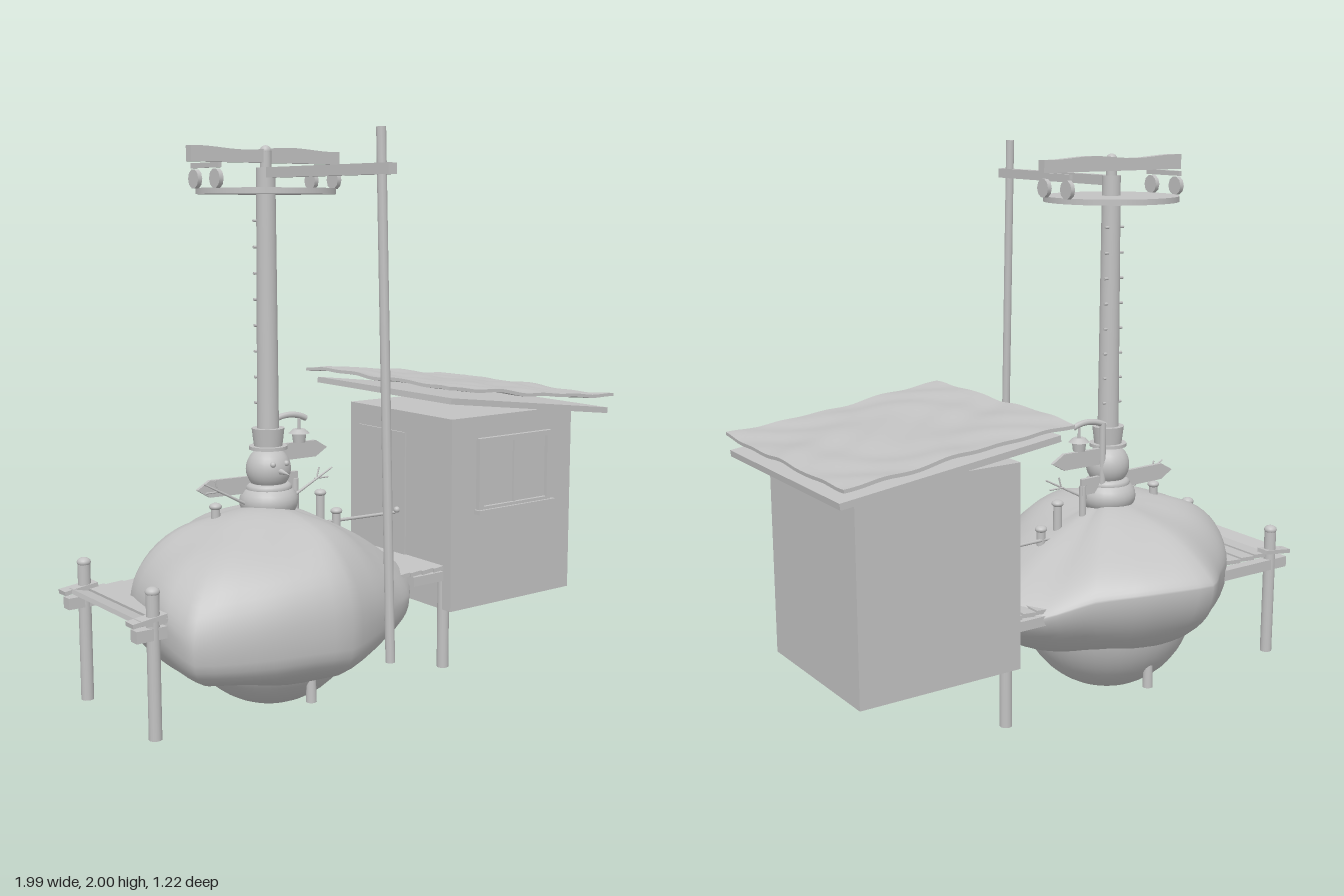
import * as THREE from 'three';

const clay = new THREE.MeshStandardMaterial({ color: 0xc2c2c2 });
clay.name = 'plain grey';

export function createModel() {
  const root = new THREE.Group();
  root.name = 'floatingIslandHouse';

  function add(name, geo, x = 0, y = 0, z = 0) {
    const m = new THREE.Mesh(geo, clay);
    m.name = name;
    m.position.set(x, y, z);
    root.add(m);
    return m;
  }
  // box given by its ranges along each axis
  const box = (name, x0, x1, y0, y1, z0, z1) =>
    add(name, new THREE.BoxGeometry(x1 - x0, y1 - y0, z1 - z0), (x0 + x1) / 2, (y0 + y1) / 2, (z0 + z1) / 2);
  const post = (name, x, z, y0, y1, r, rTop = r, seg = 16) =>
    add(name, new THREE.CylinderGeometry(rTop, r, y1 - y0, seg), x, (y0 + y1) / 2, z);
  const ball = (name, r, x, y, z, sy = 1) => {
    const m = add(name, new THREE.SphereGeometry(r, 24, 16), x, y, z);
    m.scale.y = sy;
    return m;
  };
  // round bar between two points
  function bar(name, a, b, r, r2 = r) {
    const p = new THREE.Vector3(...a), q = new THREE.Vector3(...b), d = q.clone().sub(p);
    const m = add(name, new THREE.CylinderGeometry(r2, r, d.length(), 10));
    m.position.copy(p).add(q).multiplyScalar(0.5);
    m.quaternion.setFromUnitVectors(new THREE.Vector3(0, 1, 0), d.normalize());
    return m;
  }

  const CX = -0.305, CZ = -0.1;

  // Island: rim points (x, rim height, z, roundness), lofted to a top and a fuller bottom
  const rim = [
    [-0.38, 0.5, -0.61, 0.7], [-0.15, 0.49, -0.54, 0.7], [0.01, 0.47, -0.45, 0.7],
    [0.165, 0.42, -0.36, 0.8], [0.285, 0.4, -0.2, 0.8], [0.23, 0.4, 0.02, 0.8],
    [0.07, 0.38, 0.23, 0.65], [-0.12, 0.38, 0.34, 0.5], [-0.33, 0.38, 0.43, 0.42], [-0.6, 0.38, 0.38, 0.45],
    [-0.845, 0.37, 0.28, 0.5], [-0.875, 0.44, 0.11, 0.5], [-0.83, 0.44, -0.16, 0.48],
    [-0.71, 0.45, -0.32, 0.52], [-0.55, 0.47, -0.46, 0.6],
  ];
  const rimPts = rim.map(p => new THREE.Vector3(p[0], p[1], p[2]));
  const rimCurve = new THREE.CatmullRomCurve3(rimPts, true, 'centripetal');
  const N = 60, M = 32, pos = [], idx = [];
  for (let j = 0; j <= M; j++) {
    const a = (j / M - 0.5) * Math.PI, s = Math.cos(a);
    for (let i = 0; i < N; i++) {
      const t = (i / N) * rim.length, k = Math.floor(t), n = (k + 1) % rim.length;
      // half curve, half straight chord gives soft corners
      const p = rimPts[k].clone().lerp(rimPts[n], t - k).lerp(rimCurve.getPoint(i / N), 0.5);
      const q = THREE.MathUtils.lerp(rim[k][3], rim[n][3], t - k) * (a > 0 ? 1 : 0.74);
      const f = Math.pow(Math.max(0, 1 - Math.pow(s, 1 / q)), q);
      const x = CX + (p.x - CX) * s, z = CZ + (p.z - CZ) * s;
      const lump = 0.012 * Math.sin(x * 13 + 1) * Math.cos(z * 15) * f;
      pos.push(x, THREE.MathUtils.lerp(p.y, a > 0 ? 0.72 : 0.16, f) + lump, z);
    }
  }
  for (let j = 0; j < M; j++) for (let i = 0; i < N; i++) {
    const a = j * N + i, b = j * N + (i + 1) % N, c = a + N, d = b + N;
    idx.push(a, c, b, b, c, d);
  }
  const island = new THREE.BufferGeometry();
  island.setAttribute('position', new THREE.Float32BufferAttribute(pos, 3));
  island.setIndex(idx);
  island.computeVertexNormals();
  add('island', island);
  add('hull', new THREE.SphereGeometry(0.325, 40, 28), CX, 0.325, CZ);

  // Decks on both ends, with beams and posts
  for (let i = 0; i < 4; i++) {
    const p = box('leftPlank', -0.97 + i * 0.07, -0.905 + i * 0.07, 0.445, 0.46, -0.34, 0.16);
    p.rotation.z = i ? 0.06 : -0.25;
    box('rightPlank', 0.08 + i * 0.055, 0.13 + i * 0.055, 0.435, 0.45, -0.35, 0.16).rotation.z = 0.08;
  }
  for (const z of [-0.34, 0.14]) {
    box('leftBeam', -0.98, -0.6, 0.395, 0.435, z - 0.02, z + 0.02);
    box('rightBeam', 0.15, 0.31, 0.395, 0.43, z - 0.02, z + 0.02);
    box('beamTie', -0.995, -0.87, 0.455, 0.47, z - 0.025, z + 0.025).rotation.z = 0.12;
    post('deckPost', -0.91, z, 0.06, 0.55, 0.022);
    ball('postCap', 0.024, -0.91, 0.55, z, 0.7);
    post('hutPost', 0.307, z, 0.06, 0.4, 0.022);
  }
  for (const z of [-0.355, 0.155]) post('hullPeg', CX, z, 0.06, 0.2, 0.019, 0.015);

  // Hut with door, window and two roof layers
  box('hutWalls', 0.29, 0.897, 0.285, 1.0, -0.405, 0.2);
  post('floorStub', 0.465, -0.1, 0.255, 0.3, 0.018);
  box('door', 0.283, 0.295, 0.33, 0.92, -0.34, -0.06);
  ball('doorKnob', 0.012, 0.278, 0.62, -0.1);
  for (const y of [0.645, 0.9]) box('windowFrame', 0.41, 0.778, y, y + 0.02, 0.195, 0.218);
  for (const x of [0.41, 0.755]) box('windowFrame', x, x + 0.023, 0.645, 0.92, 0.195, 0.218);
  box('windowMullion', 0.588, 0.6, 0.66, 0.9, 0.195, 0.212);
  box('windowPane', 0.43, 0.76, 0.66, 0.905, 0.197, 0.204);
  box('windowSill', 0.402, 0.792, 0.638, 0.654, 0.195, 0.228);

  const slab = add('roofBoard', new THREE.BoxGeometry(0.802, 0.022, 0.8), 0.595, 1.035, -0.1);
  slab.rotation.z = -0.125;
  const sheet = new THREE.BoxGeometry(0.834, 0.012, 0.857, 36, 1, 36);
  const sp = sheet.attributes.position;
  for (let i = 0; i < sp.count; i++) {
    const x = sp.getX(i), z = sp.getZ(i);
    const wave = Math.sin(x * 21 + 1.5 * Math.sin(z * 9)) * Math.cos(z * 17 + Math.sin(x * 11));
    sp.setY(i, sp.getY(i) + 0.006 * wave + 0.004 * Math.sin(z * 12 + x * 5));
  }
  sheet.computeVertexNormals();
  add('roofSheet', sheet, 0.58, 1.087, -0.103).rotation.z = -0.115;

  // Mast with rungs, platform and crossbar
  post('mast', CX, CZ, 0.9, 1.89, 0.039, 0.033, 24);
  for (let i = 0; i < 8; i++) {
    const y = 1.08 + i * 0.09;
    bar('rung', [CX - 0.041, y, CZ - 0.02], [CX + 0.041, y, CZ - 0.02], 0.005);
  }
  post('platform', CX, CZ, 1.8, 1.82, 0.24, 0.24, 48);
  post('mastCap', CX, CZ, 1.88, 1.945, 0.02);
  ball('mastKnob', 0.02, CX, 1.945, CZ);
  const plank = new THREE.BoxGeometry(0.605, 0.045, 0.034, 24, 1, 1);
  const pp = plank.attributes.position;
  for (let i = 0; i < pp.count; i++) if (pp.getY(i) > 0) pp.setY(i, 0.025 + 0.005 * Math.sin(pp.getX(i) * 17));
  plank.computeVertexNormals();
  add('crossbar', plank, -0.303, 1.928, CZ - 0.005);
  for (const x of [-0.543, -0.063]) {
    box('lampArm', x - 0.006, x + 0.006, 1.885, 1.902, -0.19, -0.01);
    for (const z of [-0.035, -0.17]) {
      bar('lamp', [x - 0.008, 1.85, z], [x + 0.008, 1.85, z], 0.033);
    }
  }

  // Front boom and leaning pole
  box('boom', CX - 0.017, CX + 0.017, 1.855, 1.89, -0.1, 0.595);
  bar('leaningPole', [CX, 0.317, 0.592], [CX, 1.999, 0.537], 0.016);

  // Snowman at the foot of the mast
  ball('snowBody', 0.105, CX, 0.73, CZ, 0.7);
  ball('snowHead', 0.08, CX, 0.845, CZ);
  add('scarf', new THREE.TorusGeometry(0.065, 0.018, 10, 28), CX, 0.778, CZ).rotation.x = Math.PI / 2;
  post('hatBrim', CX, CZ, 0.915, 0.927, 0.068, 0.068, 24);
  post('hat', CX, CZ, 0.925, 0.99, 0.05, 0.058, 24);
  bar('nose', [CX, 0.845, CZ + 0.07], [CX, 0.84, CZ + 0.13], 0.012, 0.001);
  for (const s of [-1, 1]) {
    ball('eye', 0.01, CX + s * 0.028, 0.87, CZ + 0.071);
    bar('arm', [CX + s * 0.08, 0.72, CZ], [CX + s * 0.27, 0.82, CZ + 0.01], 0.006, 0.003);
    bar('finger', [CX + s * 0.21, 0.79, CZ], [CX + s * 0.22, 0.825, CZ], 0.003);
    bar('finger', [CX + s * 0.2, 0.785, CZ], [CX + s * 0.26, 0.785, CZ], 0.003);
  }

  // Signpost with two arrow boards and a hanging lantern
  post('signPost', -0.25, -0.14, 0.66, 1.015, 0.012);
  post('signStub', -0.17, -0.13, 0.66, 0.79, 0.013);
  function arrow(tail, tip, y, h, tilt) {
    const d = Math.sign(tip - tail), len = Math.abs(tip - tail), s = new THREE.Shape();
    s.moveTo(0, -h);
    s.lineTo(len - 0.05, -h);
    s.lineTo(len, 0);
    s.lineTo(len - 0.05, h);
    s.lineTo(0, h);
    const m = add('signBoard', new THREE.ExtrudeGeometry(s, { depth: 0.014, bevelEnabled: false }), tail, y, -0.14);
    if (d < 0) { m.rotation.y = Math.PI; m.position.z += 0.014; }
    m.rotation.z = tilt;
  }
  arrow(-0.24, -0.03, 0.89, 0.03, 0);
  arrow(-0.16, -0.58, 0.785, 0.03, 0.02);
  // bowed lantern arm
  const bow = new THREE.QuadraticBezierCurve3(
    new THREE.Vector3(-0.26, 1.005, -0.14), new THREE.Vector3(-0.19, 1.04, -0.13), new THREE.Vector3(-0.125, 1.005, -0.125));
  add('lanternArm', new THREE.TubeGeometry(bow, 12, 0.011, 8, false));
  post('lantern', -0.155, -0.125, 0.92, 0.955, 0.022, 0.027);
  post('lanternCap', -0.155, -0.125, 0.953, 0.968, 0.038, 0.022);
  post('lanternHook', -0.155, -0.125, 0.965, 1.01, 0.005);

  // Bollards and handrail
  for (const [x, z, y0, y1] of [[-0.525, -0.1, 0.62, 0.735], [-0.08, -0.1, 0.6, 0.73], [0.0, -0.11, 0.52, 0.65]]) {
    post('bollard', x, z, y0, y1, 0.016);
    ball('bollardCap', 0.022, x, y1, z, 0.6);
  }
  bar('handrail', [-0.03, 0.612, -0.12], [0.29, 0.605, -0.12], 0.006);

  return root;
}
